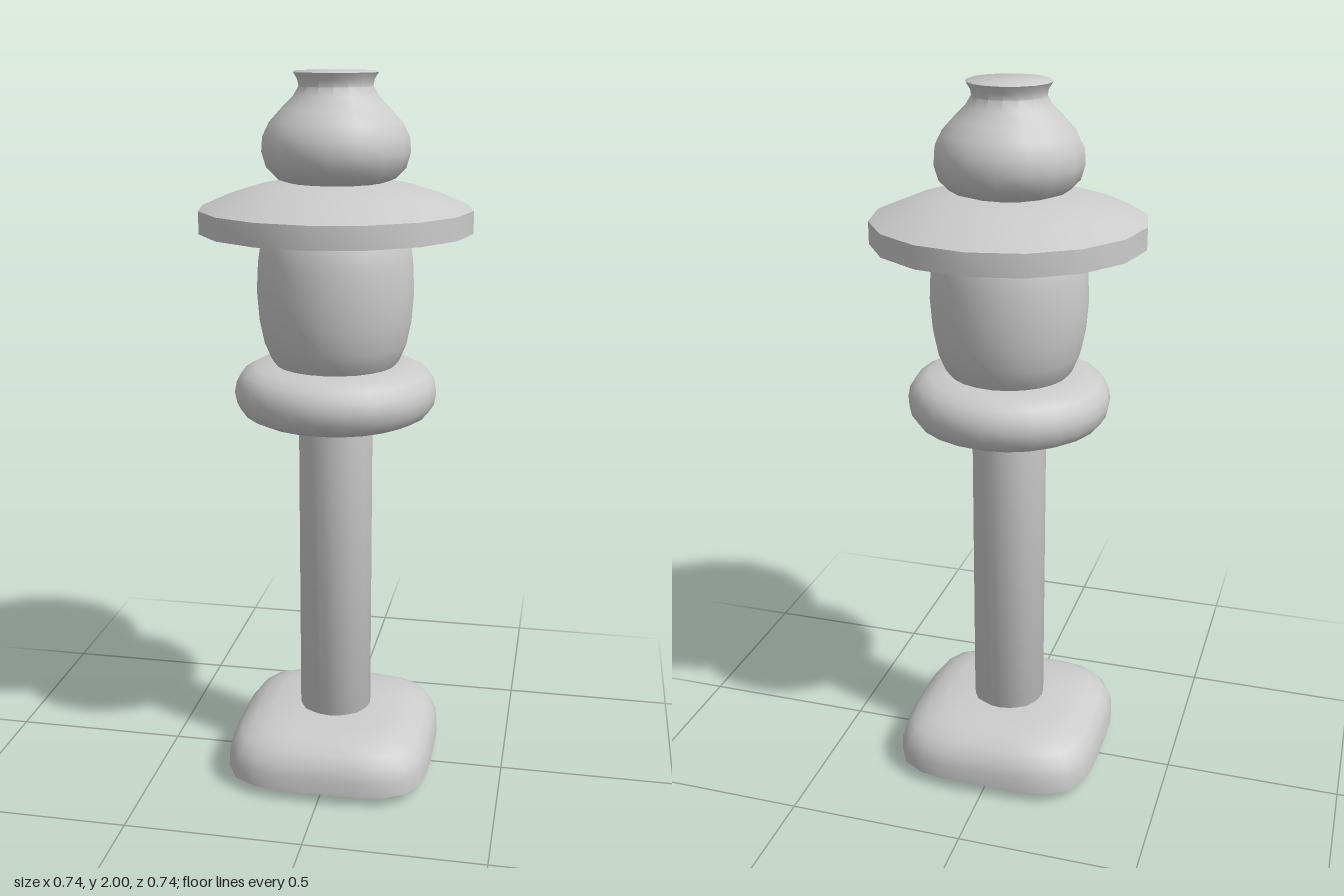
import * as THREE from 'three';
import { toCreasedNormals } from 'three/addons/utils/BufferGeometryUtils.js';

const stone = new THREE.MeshStandardMaterial({ color: 0xcccccc });
const openStone = new THREE.MeshStandardMaterial({ color: 0xcccccc, side: THREE.DoubleSide });

// Turned part from [radius, y] points listed bottom to top
function turned(name, points, sides, turn = 0, material = stone) {
  const profile = points.map(([r, y]) => new THREE.Vector2(r, y));
  const geometry = new THREE.LatheGeometry(profile, sides, turn);
  const mesh = new THREE.Mesh(toCreasedNormals(geometry, 0.75), material);
  mesh.name = name;
  return mesh;
}

// Rounded-square foot: a turned dome with its rings pushed out to a superellipse
function squareFoot() {
  const profile = [[0.295, 0.03], [0.294, 0.075], [0.284, 0.108], [0.262, 0.138], [0.225, 0.16],
    [0.175, 0.175], [0.09, 0.178]].map(([r, y]) => new THREE.Vector2(r, y));
  const geometry = new THREE.LatheGeometry(profile, 32);
  const p = geometry.attributes.position;
  for (let i = 0; i < p.count; i++) {
    const a = Math.atan2(p.getZ(i), p.getX(i));
    const k = (Math.cos(a) ** 4 + Math.sin(a) ** 4) ** -0.25;
    p.setXYZ(i, p.getX(i) * k, p.getY(i), p.getZ(i) * k);
  }
  const mesh = new THREE.Mesh(toCreasedNormals(geometry, 0.75), openStone);
  mesh.name = 'foot';
  return mesh;
}

export function createModel() {
  const lantern = new THREE.Group();
  lantern.name = 'stoneLantern';

  // Hollow foot and the post running through it
  lantern.add(squareFoot());
  lantern.add(turned('post', [[0, 0], [0.098, 0], [0.104, 0.008], [0.104, 1.08], [0, 1.08]], 24));

  // Cushion-shaped platform
  lantern.add(turned('platform', [[0, 1.055], [0.16, 1.057], [0.225, 1.064], [0.258, 1.08], [0.276, 1.106],
    [0.282, 1.137], [0.276, 1.167], [0.258, 1.193], [0.225, 1.211], [0.16, 1.217], [0, 1.217]], 24));

  // Barrel-shaped light chamber
  lantern.add(turned('lightChamber', [[0, 1.2], [0.155, 1.2], [0.178, 1.23], [0.197, 1.275], [0.21, 1.34],
    [0.216, 1.42], [0.212, 1.5], [0.204, 1.55], [0.19, 1.585], [0, 1.6]], 24));

  // Wide roof with a sixteen-sided brim
  lantern.add(turned('roof', [[0, 1.582], [0.372, 1.582], [0.372, 1.643], [0.29, 1.678], [0.21, 1.703],
    [0.12, 1.714], [0, 1.716]], 16));

  // Jar-shaped finial
  lantern.add(turned('finial', [[0, 1.705], [0.115, 1.708], [0.16, 1.722], [0.188, 1.75], [0.2, 1.79],
    [0.197, 1.83], [0.178, 1.868], [0.145, 1.904], [0.114, 1.935], [0.099, 1.96], [0.102, 1.978],
    [0.113, 1.996], [0.108, 2], [0, 2]], 16, 0.12));

  return lantern;
}
